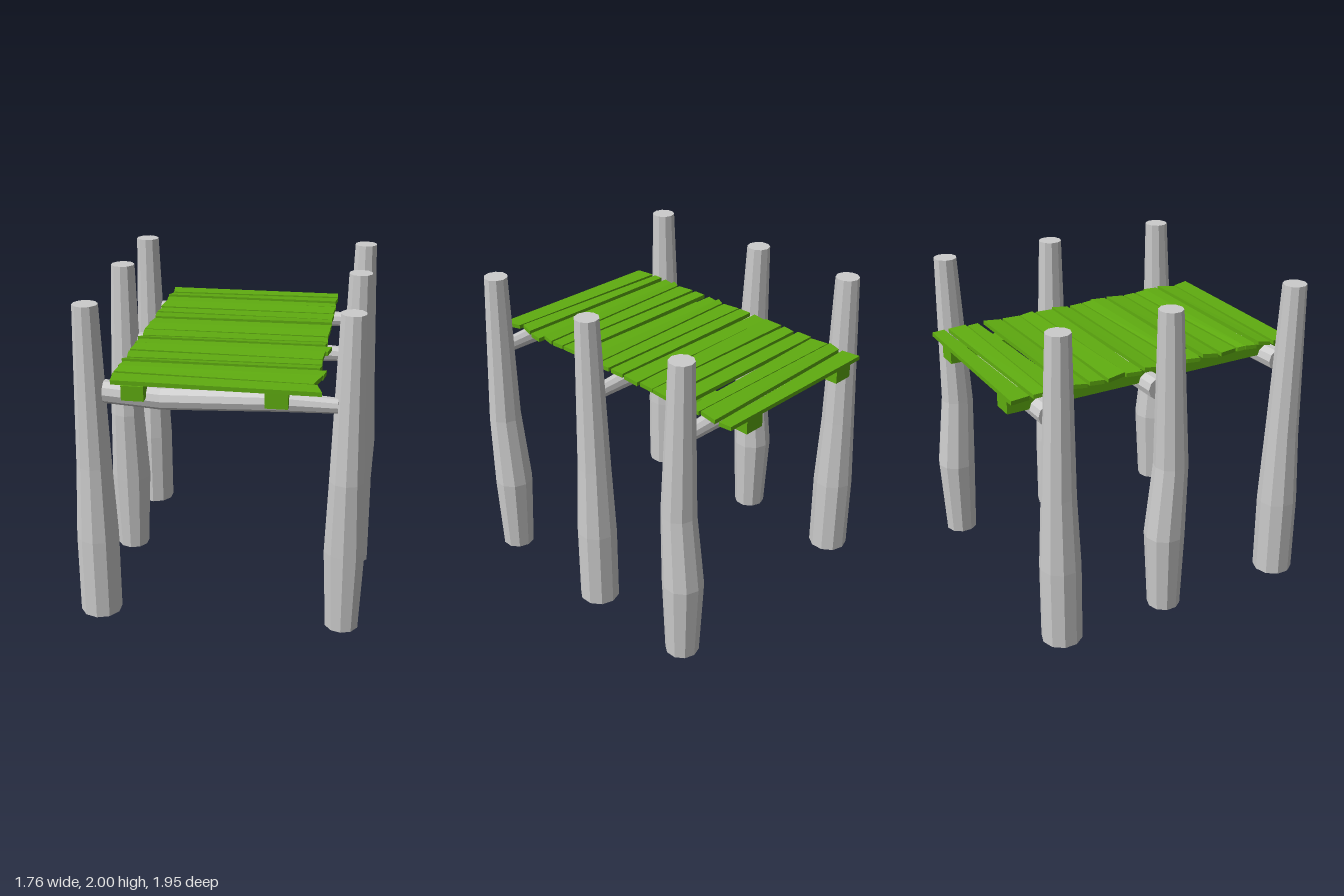
import * as THREE from 'three';

const wood = new THREE.MeshStandardMaterial({ color: 0xcccccc, flatShading: true, side: THREE.DoubleSide });
const green = new THREE.MeshStandardMaterial({ color: 0x5fac10, flatShading: true });
const SIDES = 10;

// Round log through rings of [x, y, z, radius]; it runs up y, or along x when lying
function log(rings, lying) {
  const n = rings.length - 1;
  const geo = new THREE.CylinderGeometry(1, 1, 1, SIDES, n);
  const p = geo.attributes.position;
  for (let i = 0; i < p.count; i++) {
    const [cx, cy, cz, r] = rings[Math.round((p.getY(i) + 0.5) * n)];
    const a = p.getX(i) * r, b = p.getZ(i) * r;
    if (lying) p.setXYZ(i, cx, cy - a, cz + b);
    else p.setXYZ(i, cx + a, cy, cz + b);
  }
  // Posts have no underside
  if (!lying) geo.setIndex(Array.from(geo.index.array).slice(0, -3 * SIDES));
  geo.computeVertexNormals();
  return new THREE.Mesh(geo, wood);
}

// Four-cornered board: corners [x, z] go back left, back right, front right, front left
function board(corners, bottom, thickness, tilt) {
  const geo = new THREE.BoxGeometry(1, 1, 1);
  const p = geo.attributes.position;
  for (let i = 0; i < p.count; i++) {
    const right = p.getX(i) > 0, front = p.getZ(i) > 0;
    const [x, z] = corners[front ? (right ? 2 : 3) : (right ? 1 : 0)];
    const lift = (front ? Math.max(tilt, 0) : Math.max(-tilt, 0));
    p.setXYZ(i, x, bottom + lift + (p.getY(i) > 0 ? thickness : 0), z);
  }
  geo.computeVertexNormals();
  return new THREE.Mesh(geo, green);
}

export function createModel() {
  const model = new THREE.Group();
  const add = (mesh, name) => { mesh.name = name; model.add(mesh); };

  // Posts: bent ones alternate with straight ones
  const bent = (x, top, z) => log([
    [x, 0, z - 0.01, 0.105], [x, 0.52, z - 0.015, 0.128], [x, 1, z + 0.02, 0.108], [x, 2, top, 0.075]]);
  const straight = (x, top, z) => log([
    [x, 0, z, 0.128], [x, 0.52, z, 0.128], [x, 1, z, 0.106], [x, 2, top, 0.075]]);
  add(bent(0.755, 0.81, 0.82), 'frontLeftPost');
  add(straight(0.755, -0.03, -0.04), 'middleLeftPost');
  add(bent(0.755, -0.785, -0.785), 'backLeftPost');
  add(straight(-0.757, 0.855, 0.84), 'frontRightPost');
  add(bent(-0.757, -0.025, -0.02), 'middleRightPost');
  add(straight(-0.757, -0.745, -0.763), 'backRightPost');

  // Cross beams between each pair of posts
  [['front', 0], ['middle', -0.88], ['back', -1.605]].forEach(([name, dz]) => add(log([
    [-0.67, 1.472, 0.84 + dz, 0.07], [-0.33, 1.452, 0.85 + dz, 0.068],
    [0.35, 1.483, 0.875 + dz, 0.062], [0.69, 1.472, 0.87 + dz, 0.045]], true), name + 'Beam'));

  // Two bearers under the deck
  [['left', 0.35], ['right', -0.475]].forEach(([name, x]) => {
    const bearer = new THREE.Mesh(new THREE.BoxGeometry(0.132, 0.09, 1.936), green);
    bearer.position.set(x, 1.515, 0);
    add(bearer, name + 'Bearer');
  });

  // Uneven deck planks: z at back and front for the -x end, then for the +x end
  const planks = [
    [-0.977, -0.857, -0.977, -0.893], [-0.83, -0.75, -0.863, -0.75], [-0.733, -0.614, -0.733, -0.66],
    [-0.61, -0.495, -0.619, -0.5], [-0.469, -0.381, -0.484, -0.365], [-0.355, -0.236, -0.36, -0.267],
    [-0.225, -0.127, -0.241, -0.122], [-0.101, 0.003, -0.117, -0.008], [0.013, 0.132, 0.013, 0.101],
    [0.148, 0.194, 0.111, 0.189], [0.205, 0.282, 0.194, 0.293], [0.313, 0.412, 0.303, 0.427],
    [0.438, 0.552, 0.438, 0.521], [0.567, 0.614, 0.536, 0.614], [0.63, 0.702, 0.619, 0.712],
    [0.728, 0.806, 0.728, 0.847], [0.832, 0.956, 0.857, 0.972]];
  // Planks whose +x end is cut differently
  const ends = { 10: [0.603, 0.585], 14: [0.603, 0.59], 15: [0.588, 0.545], 16: [0.567, 0.603] };
  planks.forEach(([l0, l1, r0, r1], i) => {
    const skew = l1 - l0 > r1 - r0 ? 0.008 : -0.008;
    const [e0, e1] = ends[i] ?? [0.567 - skew / 2, 0.567 + skew / 2];
    const corners = [[-0.612 - skew, l0], [e0, r0], [e1, r1], [-0.612 + skew, l1]];
    add(board(corners, 1.56, 0.026, [0, 0.01, 0, -0.01][i % 4]), 'plank' + (i + 1));
  });
  return model;
}
